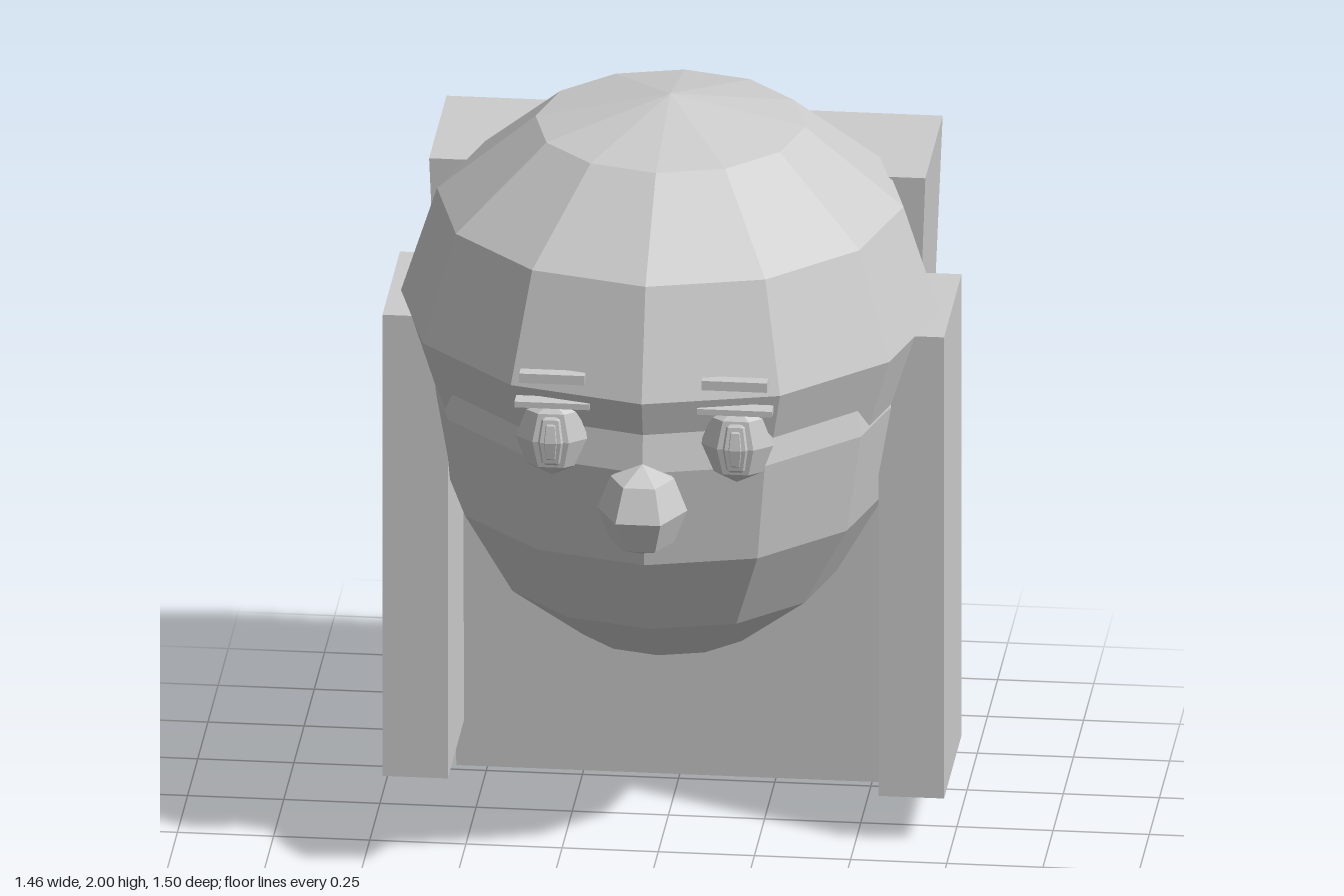
import * as THREE from 'three';

const grey = new THREE.MeshStandardMaterial({ color: 0xcccccc });
grey.name = 'light grey';
grey.flatShading = true;

export function createModel() {
  const model = new THREE.Group();
  model.name = 'longHairedHead';

  const add = (name, geometry, x, y, z) => {
    const mesh = new THREE.Mesh(geometry, grey);
    mesh.name = name;
    mesh.position.set(x, y, z);
    model.add(mesh);
    return mesh;
  };
  const box = (name, w, h, d, x, y, z) => add(name, new THREE.BoxGeometry(w, h, d), x, y, z);
  const ball = (name, rx, ry, rz, x, y, z, around, rows) =>
    add(name, new THREE.SphereGeometry(1, around, rows).scale(rx, ry, rz), x, y, z);

  // Head and hair cap
  ball('face', 0.62, 0.72, 0.62, 0, 1.22, 0.025, 12, 8);
  ball('hairCap', 0.7, 0.58, 0.705, 0, 1.42, -0.045, 12, 6);
  ball('nose', 0.117, 0.125, 0.13, 0, 1.12, 0.64, 6, 4);

  // Long back hair: a block narrowing towards the bottom
  const back = new THREE.BoxGeometry(1.29, 1.72, 0.426);
  const p = back.attributes.position;
  for (let i = 0; i < p.count; i++) {
    if (p.getY(i) < 0) {
      p.setX(i, p.getX(i) * 0.9);
      p.setZ(i, p.getZ(i) * 0.71);
    }
  }
  back.computeVertexNormals();
  add('backHair', back, 0, 0.86, -0.43);

  // Mirrored parts
  for (const [side, s] of [['left', 1], ['right', -1]]) {
    box(side + 'SideHair', 0.17, 1.29, 0.43, s * 0.645, 0.775, -0.088);
    ball(side + 'Eye', 0.095, 0.105, 0.045, s * 0.24, 1.29, 0.59, 6, 4);
    ball(side + 'Iris', 0.055, 0.085, 0.038, s * 0.24, 1.29, 0.602, 6, 4);
    ball(side + 'Pupil', 0.03, 0.065, 0.03, s * 0.24, 1.29, 0.612, 6, 4);
    box(side + 'Eyelid', 0.195, 0.016, 0.045, s * 0.237, 1.39, 0.6);
    box(side + 'Eyebrow', 0.17, 0.026, 0.035, s * 0.237, 1.464, 0.605);
  }
  return model;
}
